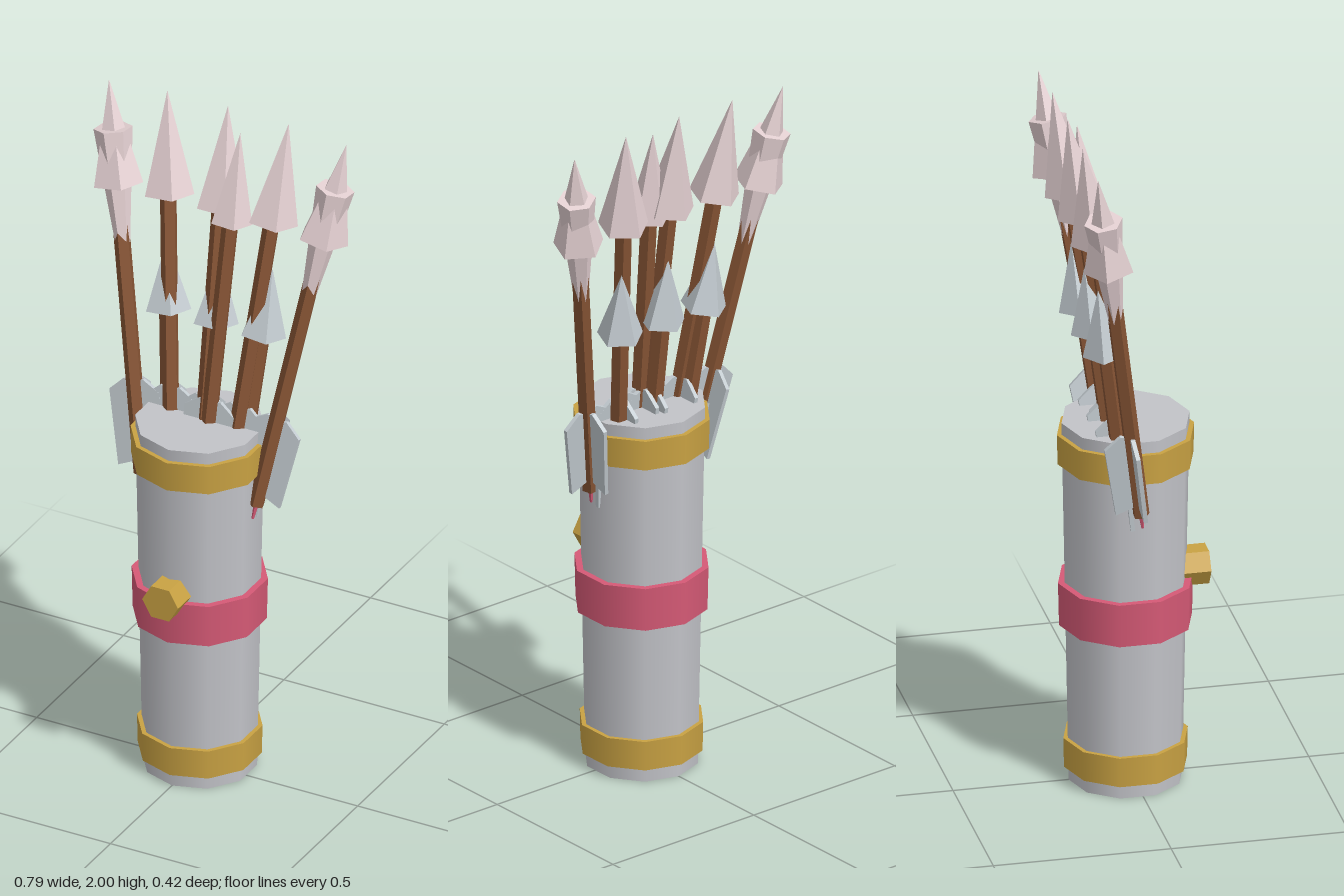
import * as THREE from 'three';

const mat = (name, color) => {
  const m = new THREE.MeshStandardMaterial({ color });
  m.name = name;
  return m;
};

// Facet a geometry so that every side is flat
function facet(geo) {
  const g = geo.toNonIndexed();
  g.computeVertexNormals();
  return g;
}

export function createModel() {
  const grey = mat('quiverGrey', 0xc2c3c8);
  const gold = mat('gold', 0xc9a243);
  const red = mat('red', 0xd65a76);
  const wood = mat('wood', 0x885535);
  const pink = mat('palePink', 0xe6d2d4);
  const steel = mat('steel', 0xc4ccd1);

  const model = new THREE.Group();
  model.name = 'quiverWithArrows';

  const add = (parent, name, geo, material) => {
    const mesh = new THREE.Mesh(geo, material);
    mesh.name = name;
    parent.add(mesh);
    return mesh;
  };

  // Ten-sided tapered quiver and its bands
  const tube = (name, y0, y1, r0, r1, material) => {
    const geo = new THREE.CylinderGeometry(r1, r0, y1 - y0, 10);
    add(model, name, geo, material).position.set(0, (y0 + y1) / 2, -0.015);
  };
  tube('quiverBody', 0, 1.08, 0.16, 0.18, grey);
  tube('bottomBand', 0.04, 0.127, 0.173, 0.175, gold);
  tube('middleBand', 0.47, 0.597, 0.187, 0.19, red);
  tube('topBand', 0.957, 1.045, 0.191, 0.193, gold);

  // Six-sided stud on the front
  const stud = new THREE.CylinderGeometry(0.056, 0.056, 0.08, 6);
  stud.rotateY(Math.PI / 2).rotateX(Math.PI / 2);
  add(model, 'stud', facet(stud), gold).position.set(0, 0.615, 0.174);

  // Feather outline: x runs away from the shaft, y along it
  const finShape = new THREE.Shape([[0, 0.04], [0.07, 0.02], [0.078, 0.24], [0.03, 0.275], [0, 0.265]]
    .map(([x, y]) => new THREE.Vector2(x, y)));
  const finGeo = new THREE.ExtrudeGeometry(finShape, { depth: 0.012, bevelEnabled: false });
  finGeo.translate(0, 0, -0.006);

  // Arrow running from its nock end to its tip
  function arrow(name, from, to, headRadius, headLength, headMaterial, sheathed = false) {
    const a = new THREE.Vector3(...from);
    const dir = new THREE.Vector3(...to).sub(a);
    const length = dir.length();
    const group = new THREE.Group();
    group.name = name;
    group.position.copy(a);
    group.quaternion.setFromUnitVectors(new THREE.Vector3(0, 1, 0), dir.normalize());
    model.add(group);

    const shaftLength = length - headLength + 0.02;
    const shaft = new THREE.CylinderGeometry(0.024, 0.024, shaftLength, 5);
    shaft.translate(0, shaftLength / 2, 0);
    add(group, 'shaft', facet(shaft), wood);

    const head = new THREE.ConeGeometry(headRadius, headLength, 5);
    head.rotateY(Math.PI).translate(0, length - headLength / 2, 0);
    add(group, 'head', facet(head), headMaterial);

    // Feathers to both sides and to the back
    for (const angle of [0, Math.PI / 2, Math.PI]) {
      add(group, 'feather', finGeo, steel).rotation.y = angle;
    }
    const nock = new THREE.CylinderGeometry(0.008, 0.004, 0.05, 5);
    add(group, 'nock', facet(nock), red).position.y = -0.02;

    // Upturned six-sided cup around the head
    if (sheathed) {
      const cup = new THREE.CylinderGeometry(0.054, 0.012, 0.42, 6);
      cup.translate(0, length - 0.35, 0);
      add(group, 'headCup', facet(cup), pink);
    }
  }

  for (const s of [-1, 1]) {
    const side = s > 0 ? 'left' : 'right';
    arrow(side + 'OuterArrow', [s * 0.178, 0.865, -0.012], [s * 0.37, 1.98, -0.176], 0.072, 0.3, pink, true);
    arrow(side + 'InnerArrow', [s * 0.085, 0.87, -0.012], [s * 0.189, 1.995, -0.178], 0.072, 0.3, pink);
    arrow(side + 'ShortArrow', [s * 0.1, 0.8, -0.03], [s * 0.165, 1.55, -0.13], 0.066, 0.2, steel);
  }
  arrow('centreArrow', [0, 0.87, -0.012], [0, 2, -0.178], 0.072, 0.3, pink);
  arrow('smallArrow', [0.012, 0.87, -0.005], [0.06, 1.95, -0.138], 0.06, 0.27, pink);
  arrow('centreShortArrow', [0, 0.8, -0.03], [0, 1.55, -0.13], 0.066, 0.2, steel);

  return model;
}
